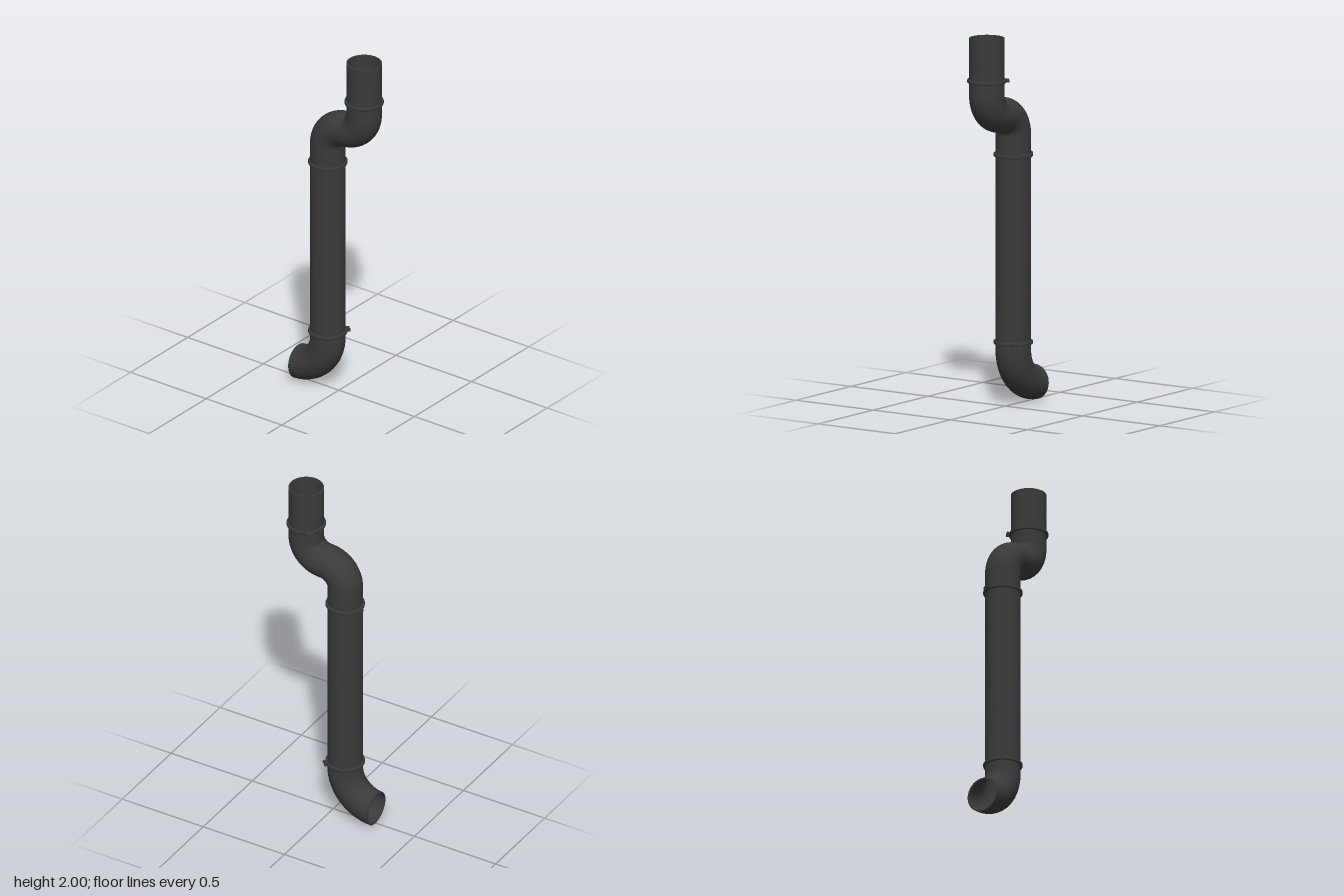
import * as THREE from 'three';

const OUTER = 0.094, INNER = 0.085, SIDES = 40;
const TOP_Z = 0.167, LOW_Z = -0.073;
const material = new THREE.MeshStandardMaterial({ color: 0x3a3a3a });

// Station on the pipe's centre line; a = tilt from straight down towards the back
const station = (z, y, a = 0) => ({ z, y, a });

// Arc of stations; side = 1 turns towards the back, -1 turns down again
function arc(cz, cy, radius, from, to, side, steps = 16) {
  return Array.from({ length: steps + 1 }, (_, i) => {
    const a = THREE.MathUtils.degToRad(from + (to - from) * i / steps);
    return station(cz + side * radius * Math.cos(a), cy - side * radius * Math.sin(a), a);
  });
}

// Sweeps a hollow round wall along the stations, with flat rims at both ends
function pipe(name, path) {
  const pos = [], index = [];
  const strip = rings => {
    const base = pos.length / 3;
    rings.forEach(({ s, r }, i) => {
      for (let j = 0; j < SIDES; j++) {
        const phi = j / SIDES * Math.PI * 2, n = r * Math.cos(phi);
        pos.push(r * Math.sin(phi), s.y - n * Math.sin(s.a), s.z + n * Math.cos(s.a));
        if (i === rings.length - 1) continue;
        const p = base + i * SIDES + j, q = base + i * SIDES + (j + 1) % SIDES;
        index.push(p, p + SIDES, q, q, p + SIDES, q + SIDES);
      }
    });
  };
  const first = path[0], last = path[path.length - 1];
  strip(path.map(s => ({ s, r: OUTER })));
  strip([{ s: last, r: OUTER }, { s: last, r: INNER }]);
  strip([...path].reverse().map(s => ({ s, r: INNER })));
  strip([{ s: first, r: INNER }, { s: first, r: OUTER }]);
  const geometry = new THREE.BufferGeometry();
  geometry.setAttribute('position', new THREE.Float32BufferAttribute(pos, 3));
  geometry.setIndex(index);
  geometry.computeVertexNormals();
  return part(name, geometry);
}

function part(name, geometry, x = 0, y = 0, z = 0) {
  const mesh = new THREE.Mesh(geometry, material);
  mesh.name = name;
  mesh.position.set(x, y, z);
  return mesh;
}

// Band around the pipe with two lugs drawn together by a bolt
function clamp(name, y, z, turn) {
  const group = new THREE.Group();
  group.name = name;
  const profile = [[0.092, -0.009], [0.102, -0.009], [0.104, -0.006], [0.104, 0.006], [0.102, 0.009], [0.092, 0.009]]
    .map(([r, h]) => new THREE.Vector2(r, h));
  group.add(part('clampBand', new THREE.LatheGeometry(profile, SIDES)));
  const bolt = new THREE.CylinderGeometry(0.0035, 0.0035, 0.044, 10).rotateZ(Math.PI / 2);
  group.add(part('clampBolt', bolt, 0, 0, 0.111));
  for (const side of [-1, 1]) {
    group.add(part('clampLug', new THREE.BoxGeometry(0.006, 0.016, 0.018), side * 0.012, 0, 0.109));
    const nut = new THREE.CylinderGeometry(0.007, 0.007, 0.006, 6).rotateZ(Math.PI / 2);
    group.add(part('boltNut', nut, side * 0.019, 0, 0.111));
  }
  group.position.set(0, y, z);
  group.rotation.y = turn;
  return group;
}

export function createModel() {
  const model = new THREE.Group();
  model.name = 'drainpipe';

  // Pipe sections from the top down
  model.add(pipe('topPipe', [station(TOP_Z, 2), station(TOP_Z, 1.77)]));
  model.add(pipe('offsetBend', [
    station(TOP_Z, 1.77),
    ...arc(0.047, 1.69, 0.12, 0, 90, 1),
    ...arc(0.047, 1.45, 0.12, 90, 0, -1).slice(1),
    station(LOW_Z, 1.34),
  ]));
  model.add(pipe('downPipe', [station(LOW_Z, 1.34), station(LOW_Z, 0.335)]));
  model.add(pipe('outletBend', [station(LOW_Z, 0.335), ...arc(-0.273, 0.294, 0.2, 0, 87.5, 1)]));

  // Clamps over the joints
  model.add(clamp('upperClamp', 1.77, TOP_Z, Math.atan2(0.085, -0.067)));
  model.add(clamp('middleClamp', 1.34, LOW_Z, Math.atan2(0.028, -0.11)));
  model.add(clamp('lowerClamp', 0.335, LOW_Z, Math.PI / 4));
  return model;
}
